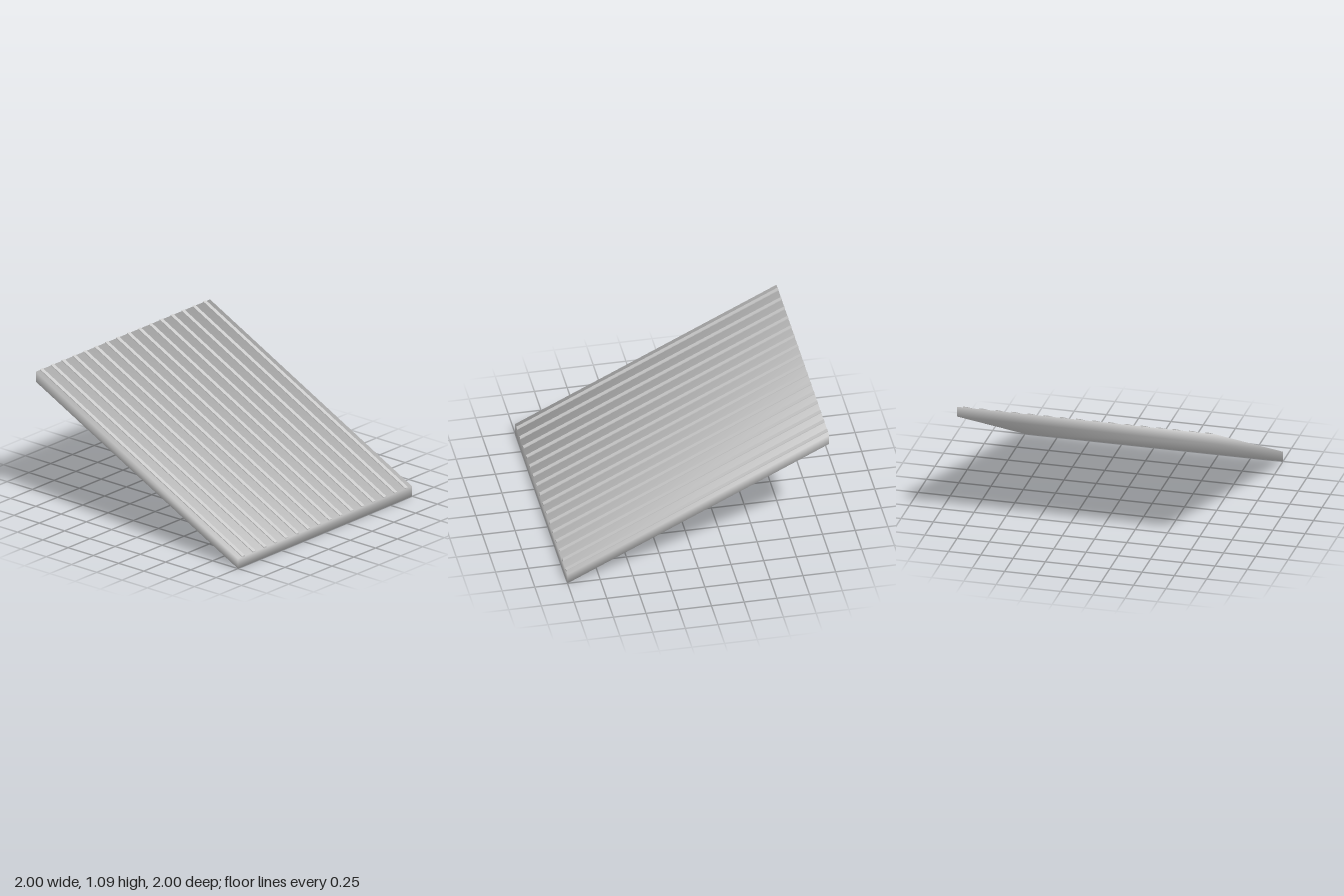
import * as THREE from 'three';

const SLOPE = 0.5; // rise per unit of depth, towards the back
const SLAB_H = 0.08;
const RIB_H = 0.007;
const RIB_W = 0.032;
const RIBS = 16;

// A box with vertical ends, sheared so that it climbs towards -z.
function slopedBox(width, height, base) {
  const geo = new THREE.BoxGeometry(width, height, 2);
  geo.translate(0, base + height / 2, 0);
  const p = geo.attributes.position;
  for (let i = 0; i < p.count; i++) p.setY(i, p.getY(i) + SLOPE * (1 - p.getZ(i)));
  geo.computeVertexNormals();
  return geo;
}

// Blend the normals at the slab's eight corners, weighting each face by its angle there.
function softenCorners(geo) {
  const { position: p, normal: n } = geo.attributes;
  const len = Math.hypot(1, SLOPE);
  const acute = Math.atan2(1, SLOPE) / (Math.PI / 2);
  const v = new THREE.Vector3();
  for (let i = 0; i < p.count; i++) {
    const sx = Math.sign(p.getX(i));
    const sz = Math.sign(p.getZ(i));
    const sy = p.getY(i) - SLOPE * (1 - p.getZ(i)) > SLAB_H / 2 ? 1 : -1;
    const side = sy === sz ? 2 - acute : acute;
    v.set(sx * side, sy / len, (sy * SLOPE) / len + sz).normalize();
    n.setXYZ(i, v.x, v.y, v.z);
  }
  return geo;
}

export function createModel() {
  const model = new THREE.Group();
  model.name = 'ribbedRamp';
  const grey = new THREE.MeshStandardMaterial({ color: 0xcccccc });

  // Sloping slab
  const slab = new THREE.Mesh(softenCorners(slopedBox(2, SLAB_H, 0)), grey);
  slab.name = 'slab';
  model.add(slab);

  // Evenly spaced ribs running up the slope, sunk slightly into the slab
  const ribs = new THREE.Group();
  ribs.name = 'ribs';
  const ribGeo = slopedBox(RIB_W, RIB_H * 2, SLAB_H - RIB_H);
  const pitch = 2 / RIBS;
  for (let i = 0; i < RIBS; i++) {
    const rib = new THREE.Mesh(ribGeo, grey);
    rib.name = 'rib';
    rib.position.x = -1 + pitch * (i + 0.5);
    ribs.add(rib);
  }
  model.add(ribs);
  return model;
}
